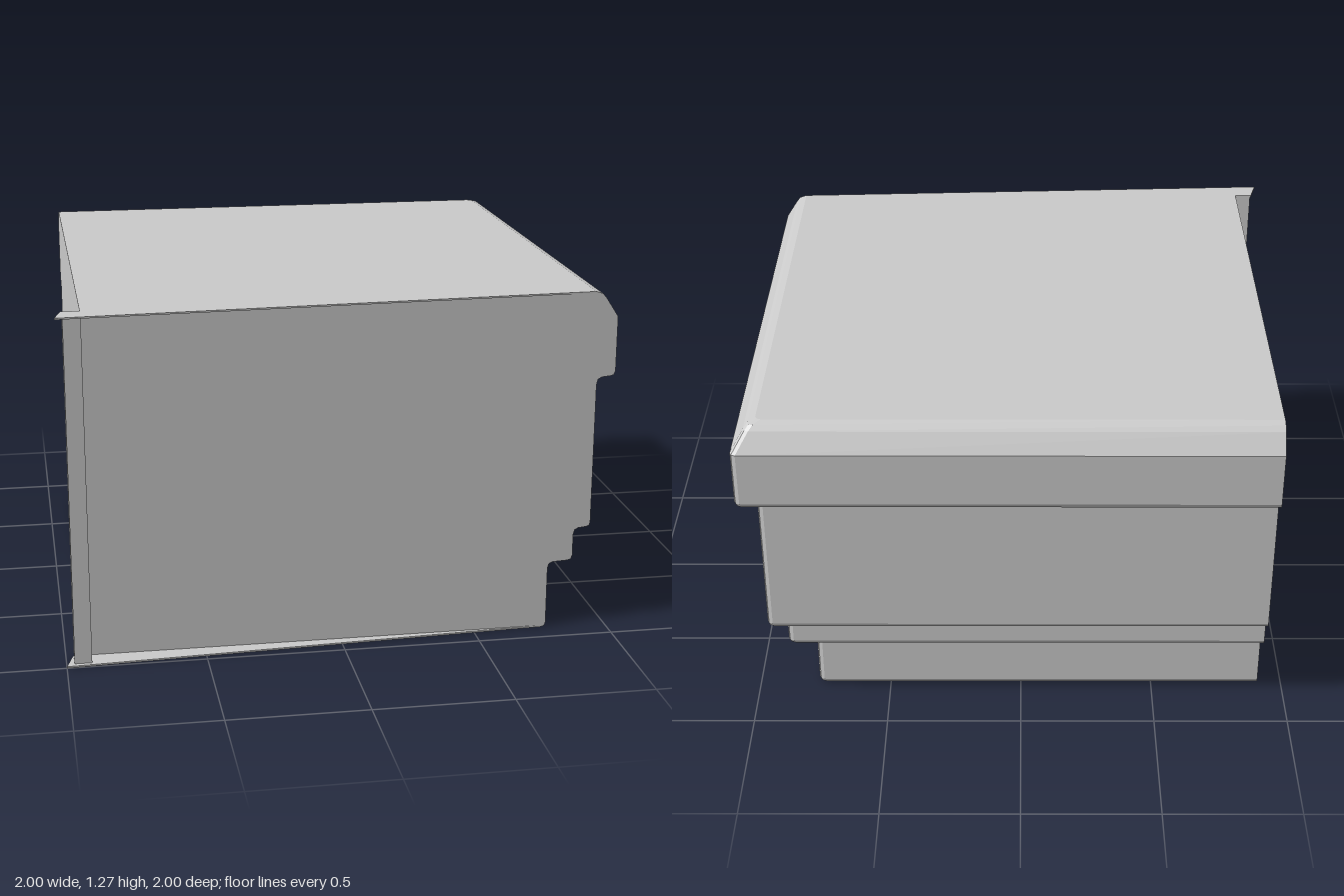
import * as THREE from 'three';

const HEIGHT = 1.275, INNER = 0.91, ROUND = 0.02;

// Moulding profile: outward reach, height
const PROFILE = [
  [0.755, 0], [0.77, 0.004], [0.775, 0.018], [0.775, 0.235], [0.78, 0.25], [0.793, 0.257],
  [0.85, 0.26], [0.862, 0.264], [0.868, 0.278], [0.868, 0.36], [0.873, 0.378], [0.886, 0.385],
  [0.915, 0.388], [0.927, 0.392], [0.931, 0.405], [0.931, 0.93], [0.936, 0.95], [0.95, 0.958],
  [0.98, 0.961], [0.994, 0.965], [1, 0.98], [1, 1.18], [0.955, 1.25], [0.94, 1.267], [0.915, HEIGHT],
];

// Plan outline at one height, with a slightly rounded outer corner
function ring([p, y]) {
  const k = ROUND * 0.3;
  return [
    [-INNER, y, -p], [p - ROUND, y, -p], [p - k, y, -p + k],
    [p, y, -p + ROUND], [p, y, INNER], [-INNER, y, INNER],
  ];
}

function blockGeometry() {
  const rings = PROFILE.map(ring), n = rings[0].length, pos = [];
  const tri = (a, b, c) => pos.push(...a, ...b, ...c);
  for (let r = 0; r < rings.length - 1; r++) {
    const lo = rings[r], up = rings[r + 1];
    for (let i = 0; i < n; i++) {
      const j = (i + 1) % n;
      tri(lo[j], lo[i], up[i]);
      tri(lo[j], up[i], up[j]);
    }
  }
  // Bottom and top caps
  const bottom = rings[0], top = rings[rings.length - 1];
  for (let i = 1; i < n - 1; i++) {
    tri(bottom[0], bottom[i], bottom[i + 1]);
    tri(top[0], top[i + 1], top[i]);
  }
  const g = new THREE.BufferGeometry();
  g.setAttribute('position', new THREE.Float32BufferAttribute(pos, 3));
  g.computeVertexNormals();
  return g;
}

// Thin tapering lip along the front edge, ending in the corner tip
function lipGeometry(endX, topY, depth) {
  const shape = new THREE.Shape([
    [-INNER, INNER], [-0.975, INNER], [-1, 1], [endX, INNER],
  ].map(([x, z]) => new THREE.Vector2(x, z)));
  return new THREE.ExtrudeGeometry(shape, { depth, bevelEnabled: false })
    .rotateX(Math.PI / 2).translate(0, topY, 0);
}

export function createModel() {
  const group = new THREE.Group();
  const material = new THREE.MeshStandardMaterial({
    color: 0xcccccc, flatShading: true, side: THREE.DoubleSide,
  });
  const add = (name, geometry) => {
    const mesh = new THREE.Mesh(geometry, material);
    mesh.name = name;
    group.add(mesh);
    return mesh;
  };

  add('mouldedCornerBlock', blockGeometry());

  // Square post in the front corner, between the lips
  const lip = 0.006;
  add('cornerPost', new THREE.BoxGeometry(0.062, HEIGHT - 2 * lip, 0.07))
    .position.set(-INNER - 0.031, HEIGHT / 2, INNER + 0.035);

  add('topLip', lipGeometry(0.915, HEIGHT, lip));
  add('bottomLip', lipGeometry(0.755, lip, lip));
  return group;
}
